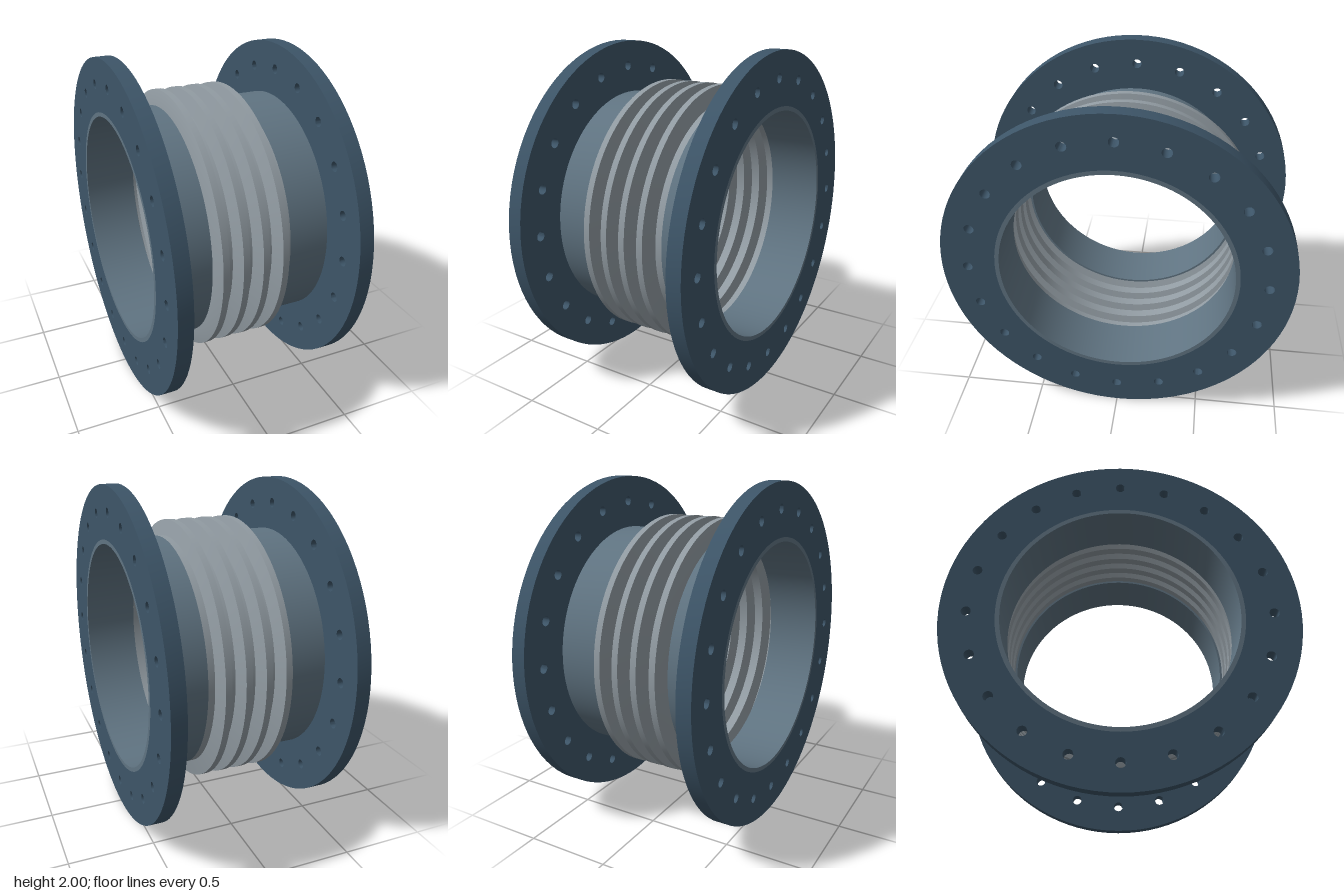
import * as THREE from 'three';
import { toCreasedNormals } from 'three/addons/utils/BufferGeometryUtils.js';

const SEGMENTS = 96;
const END = 0.555, FLANGE = 0.085;        // half length, flange thickness
const PIPE_OUT = 0.69, PIPE_IN = 0.665;
const BELLOWS = 0.235, RIDGES = 4;        // half length, number of convolutions

const material = (color) => new THREE.MeshStandardMaterial({ color });
const flangeMat = material(0x3d5568);
const pipeMat = material(0x607482);
const bellowsMat = material(0x929ca3);

function addMesh(parent, name, geometry, mat) {
  const mesh = new THREE.Mesh(toCreasedNormals(geometry, 0.5), mat);
  mesh.name = name;
  parent.add(mesh);
}

// Revolve a closed [radius, x] profile about the x axis
function revolve(profile) {
  const points = [...profile, profile[0]].map(([r, x]) => new THREE.Vector2(r, x));
  return new THREE.LatheGeometry(points, SEGMENTS).rotateZ(-Math.PI / 2);
}

function circlePoints(cx, cy, r, n) {
  return Array.from({ length: n }, (_, i) => {
    const a = (i / n) * Math.PI * 2;
    return new THREE.Vector2(cx + r * Math.cos(a), cy + r * Math.sin(a));
  });
}

// Flat ring with a circle of bolt holes
function flangeGeometry() {
  const ring = new THREE.Shape(circlePoints(0, 0, 1, SEGMENTS));
  ring.holes.push(new THREE.Path(circlePoints(0, 0, PIPE_OUT, SEGMENTS)));
  for (let i = 0; i < 20; i++) {
    const a = (i / 20) * Math.PI * 2;
    ring.holes.push(new THREE.Path(circlePoints(0.85 * Math.cos(a), 0.85 * Math.sin(a), 0.028, 20)));
  }
  return new THREE.ExtrudeGeometry(ring, { depth: FLANGE, bevelEnabled: false }).rotateY(Math.PI / 2);
}

// Thin corrugated sleeve: outer wall forward, inner wall back
function bellowsGeometry() {
  const outer = [], inner = [];
  const pitch = (2 * BELLOWS) / RIDGES, wall = 0.012;
  for (let i = 0; i < RIDGES; i++) {
    const x = -BELLOWS + i * pitch;
    outer.push([PIPE_OUT, x], [0.782, x + 0.021], [0.782, x + 0.058], [PIPE_OUT, x + 0.079]);
    inner.push([PIPE_OUT - wall, x + (i ? 0.009 : 0)], [0.77, x + 0.03],
      [0.77, x + 0.049], [PIPE_OUT - wall, x + 0.07]);
  }
  outer.push([PIPE_OUT, BELLOWS]);
  inner.push([PIPE_OUT - wall, BELLOWS]);
  return revolve([...outer, ...inner.reverse()]);
}

export function createModel() {
  const model = new THREE.Group();
  model.name = 'expansionJoint';
  const body = new THREE.Group();
  body.name = 'body';
  body.position.y = 1;
  model.add(body);

  // Flange and pipe stub at each end
  for (const [side, start, pipeStart] of [
    ['left', END - FLANGE, BELLOWS],
    ['right', -END, -END],
  ]) {
    addMesh(body, side + 'Flange', flangeGeometry().translate(start, 0, 0), flangeMat);
    const pipeEnd = pipeStart + END - BELLOWS;
    addMesh(body, side + 'Pipe', revolve([
      [PIPE_OUT, pipeStart], [PIPE_OUT, pipeEnd], [PIPE_IN, pipeEnd], [PIPE_IN, pipeStart],
    ]), pipeMat);
  }

  addMesh(body, 'bellows', bellowsGeometry(), bellowsMat);
  return model;
}
